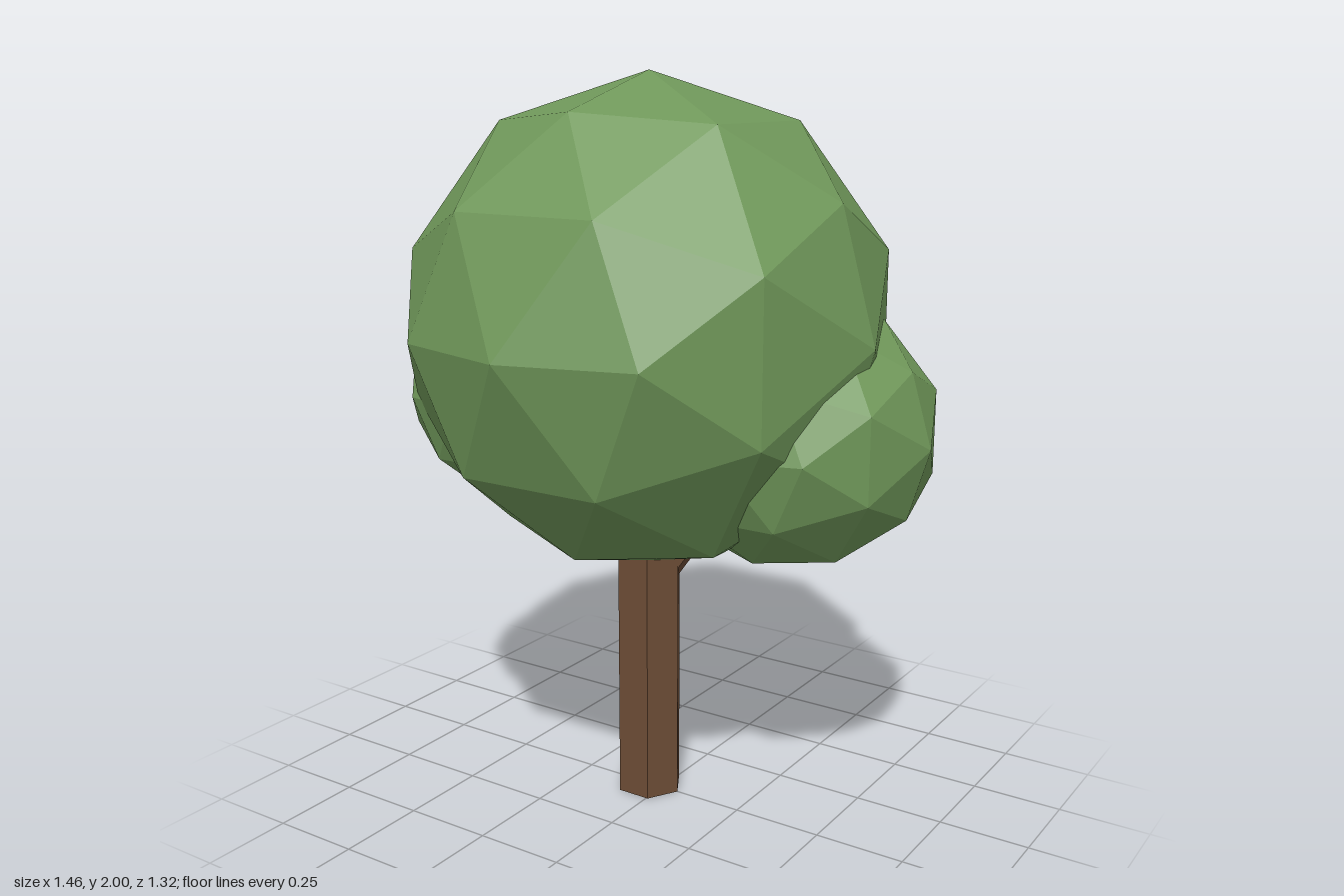
import * as THREE from 'three';

export function createModel() {
  const tree = new THREE.Group();
  tree.name = 'tree';

  const leafGreen = new THREE.MeshStandardMaterial({ color: 0x70985a, flatShading: true });
  leafGreen.name = 'leaf green';
  const barkBrown = new THREE.MeshStandardMaterial({ color: 0x6d4d36, flatShading: true });
  barkBrown.name = 'bark brown';

  function add(name, geometry, material) {
    const mesh = new THREE.Mesh(geometry, material);
    mesh.name = name;
    tree.add(mesh);
    return mesh;
  }

  // Faceted leaf balls: centre, then radii
  const foliage = [
    ['mainCrown', [-0.04, 1.34, 0], [0.66, 0.66, 0.66]],
    ['leftFoliage', [0.34, 1.08, -0.11], [0.39, 0.365, 0.39]],
    ['rightFoliage', [-0.39, 1.145, 0.055], [0.345, 0.33, 0.355]],
  ];
  for (const [name, centre, radii] of foliage) {
    const ball = new THREE.IcosahedronGeometry(1, 1);
    ball.rotateZ(Math.PI / 2).scale(...radii).translate(...centre);
    add(name, ball, leafGreen);
  }

  // Six-sided trunk with corners pointing to the sides
  const trunk = new THREE.CylinderGeometry(0.095, 0.095, 0.9, 6);
  trunk.rotateY(Math.PI / 6).translate(-0.0425, 0.45, 0);
  add('trunk', trunk, barkBrown);

  // Branch rising into the left foliage
  const start = new THREE.Vector3(-0.04, 0.59, 0);
  const end = new THREE.Vector3(0.2, 0.96, -0.09);
  const direction = end.clone().sub(start);
  const branch = add('branch', new THREE.CylinderGeometry(0.036, 0.036, direction.length(), 6), barkBrown);
  branch.position.copy(start).add(end).multiplyScalar(0.5);
  branch.quaternion.setFromUnitVectors(new THREE.Vector3(0, 1, 0), direction.normalize());

  return tree;
}
